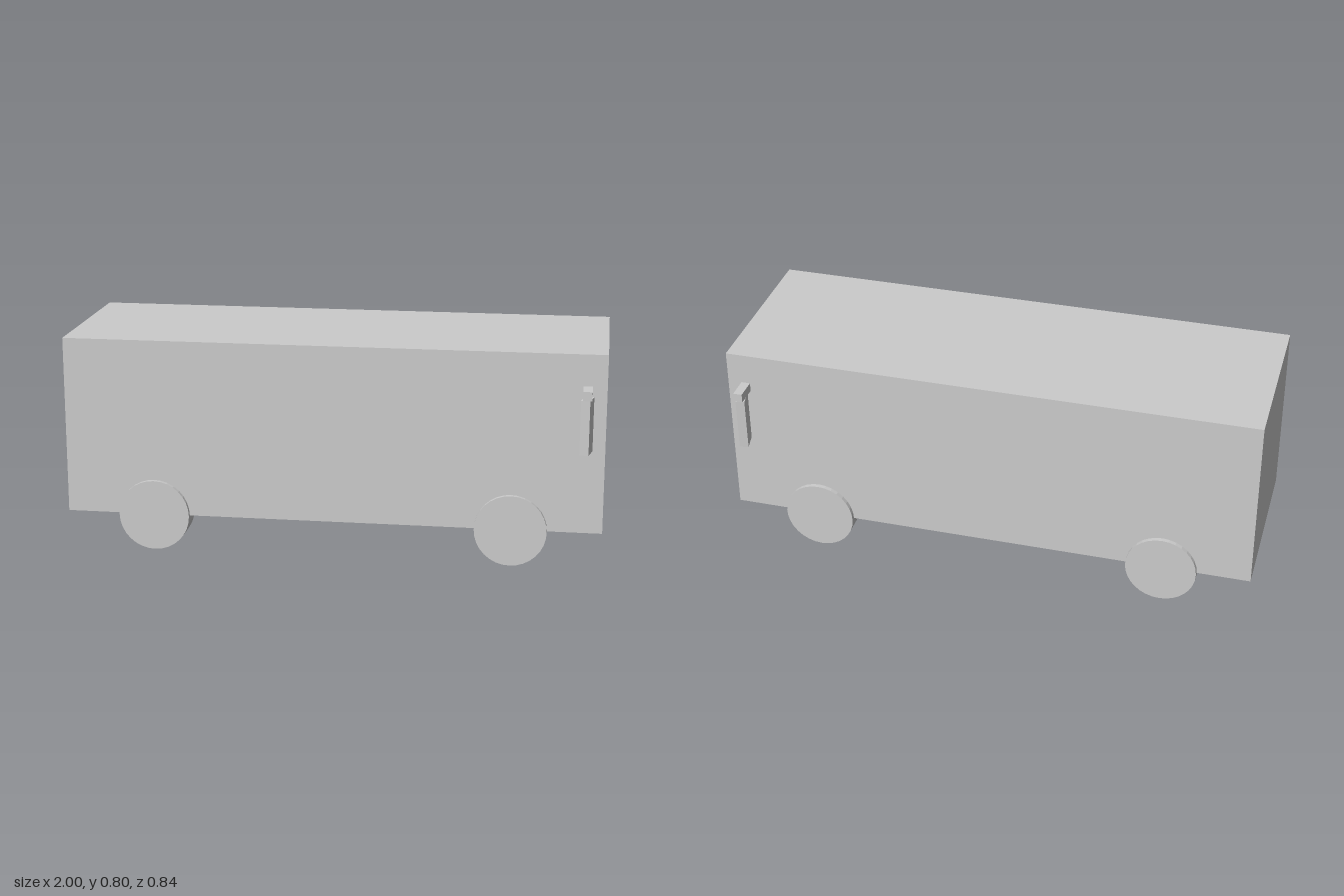
import * as THREE from 'three';

export function createModel() {
  const bus = new THREE.Group();
  bus.name = 'bus';
  const material = new THREE.MeshStandardMaterial({ color: 0xcccccc, flatShading: true });

  function add(parent, name, geometry, x, y, z) {
    const mesh = new THREE.Mesh(geometry, material);
    mesh.name = name;
    mesh.position.set(x, y, z);
    parent.add(mesh);
    return mesh;
  }

  // Box body, floor level with the axles
  add(bus, 'body', new THREE.BoxGeometry(2, 0.667, 0.667), 0, 0.4667, 0);

  // Wheels, standing slightly proud of the sides
  const wheelGeometry = new THREE.CylinderGeometry(0.1333, 0.1333, 0.1, 32).rotateX(Math.PI / 2);
  // Mirror parts
  const armGeometry = new THREE.BoxGeometry(0.0333, 0.0333, 0.0833);
  const plateGeometry = new THREE.BoxGeometry(0.0333, 0.2, 0.0667);

  for (const side of [1, -1]) {
    for (const end of [1, -1]) {
      add(bus, 'wheel', wheelGeometry, end * 0.6667, 0.1333, side * 0.3);
    }

    // Wing mirror: short arm with an angled plate hanging below it
    const mirror = new THREE.Group();
    mirror.name = 'wingMirror';
    bus.add(mirror);
    add(mirror, 'mirrorArm', armGeometry, 0.931, 0.6667, side * 0.375);
    const plate = add(mirror, 'mirrorPlate', plateGeometry, 0.931, 0.55, side * 0.3833);
    plate.rotation.y = -side * 0.2;
  }

  return bus;
}
